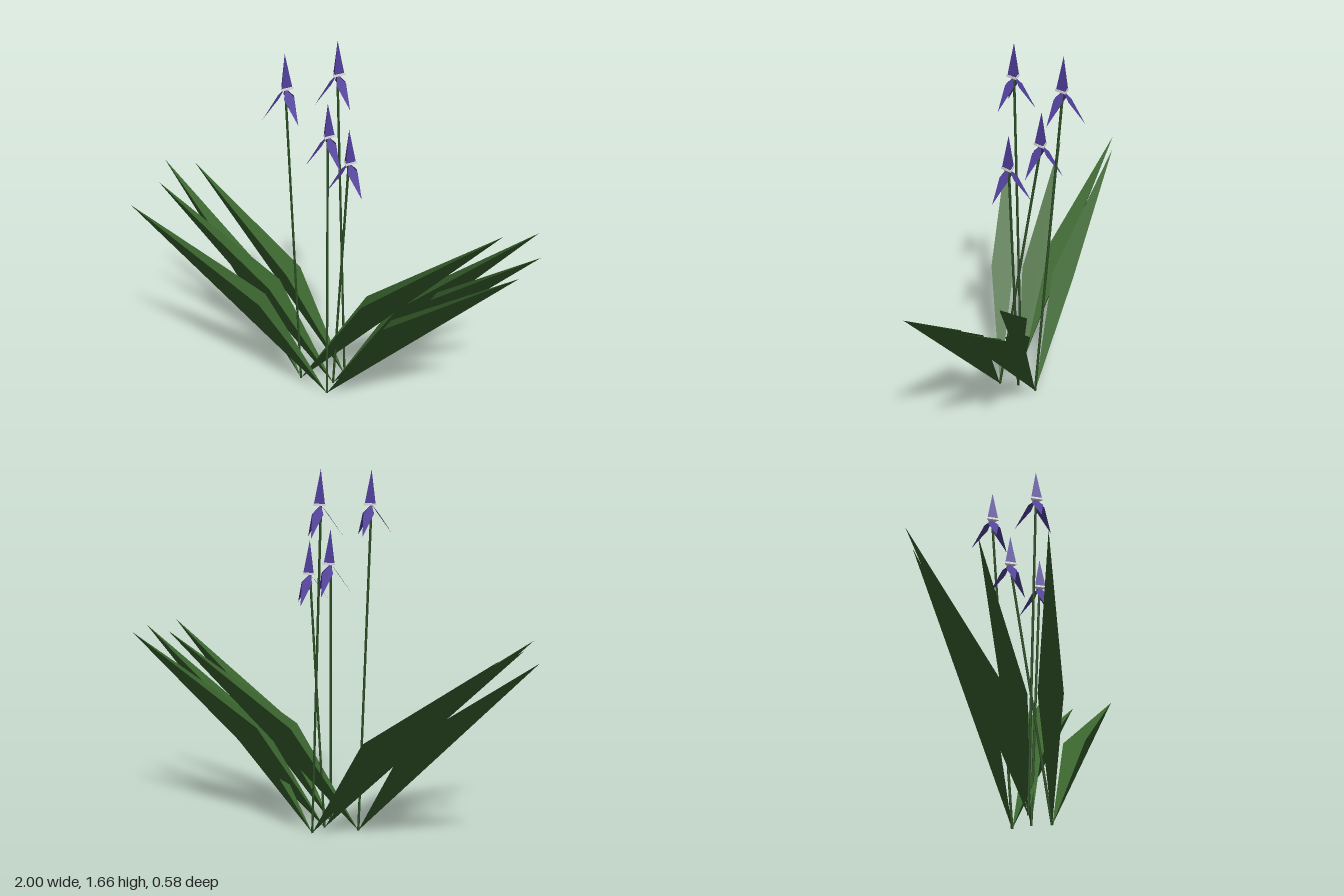
import * as THREE from 'three';

const mat = (name, color, side = THREE.FrontSide) => {
  const m = new THREE.MeshStandardMaterial({ color, side });
  m.name = name;
  return m;
};

// Four-cornered blade (root, side, tip, side) folded along root-tip, with one shared normal
function bladeGeometry(root, sideA, tip, sideB) {
  const n = tip.clone().sub(root).cross(sideB.clone().sub(sideA)).normalize();
  const flip = n.y < 0;
  if (flip) n.negate();
  const pts = flip ? [root, sideB, tip, sideA] : [root, sideA, tip, sideB];
  const g = new THREE.BufferGeometry();
  g.setAttribute('position', new THREE.Float32BufferAttribute(pts.flatMap(p => p.toArray()), 3));
  g.setAttribute('normal', new THREE.Float32BufferAttribute(pts.flatMap(() => n.toArray()), 3));
  // pick the winding whose faces look the same way as the normal
  const up = pts[1].clone().sub(pts[0]).cross(pts[2].clone().sub(pts[0])).dot(n) > 0;
  g.setIndex(up ? [0, 1, 2, 0, 2, 3] : [0, 2, 1, 0, 3, 2]);
  return g;
}

// Blade reaching outwards from root to tip, widest at fraction t along the ground
function blade(name, material, root, tip, t, midY, halfWidth) {
  const mid = root.clone().lerp(tip, t).setY(midY);
  const side = new THREE.Vector3(-(tip.z - root.z), 0, tip.x - root.x).setLength(halfWidth);
  const mesh = new THREE.Mesh(
    bladeGeometry(root, mid.clone().add(side), tip, mid.clone().sub(side)), material);
  mesh.name = name;
  return mesh;
}

export function createModel() {
  const group = new THREE.Group();
  group.name = 'floweringPlants';

  const leafGreen = mat('leaf green', 0x3a652e, THREE.DoubleSide);
  const stemGreen = mat('stem green', 0x2f5226);
  const purple = mat('petal purple', 0x51409c, THREE.DoubleSide);
  const white = mat('band white', 0xffffff);
  const V = (x, y, z) => new THREE.Vector3(x, y, z);

  // base [x, z], flower band [x, y, z], two leaf tips [x, z]
  const plants = [
    { base: [-0.11, 0.01], flower: [-0.148, 1.505, 0.055], tips: [[-1, -0.24], [0.8, -0.155]] },
    { base: [0.07, -0.11], flower: [-0.02, 1.51, -0.197], tips: [[-0.84, -0.27], [1, -0.04]] },
    { base: [0.06, 0.07], flower: [-0.022, 1.25, -0.104], tips: [[-0.84, 0.285], [0.97, 0.175]] },
    { base: [0.05, -0.02], flower: [0.13, 1.19, 0], tips: [[-0.87, 0.01], [0.93, -0.26]] },
  ];

  for (const { base, flower, tips } of plants) {
    const plant = new THREE.Group();
    plant.name = 'plant';
    const foot = V(base[0], 0, base[1]);
    const head = V(...flower);

    // folded leaves
    for (const [x, z] of tips)
      plant.add(blade('leaf', leafGreen, foot, V(x, 0.905, z), 0.335, 0.48, 0.055));

    // slender stem
    const stem = new THREE.Mesh(
      new THREE.TubeGeometry(new THREE.LineCurve3(foot, head), 1, 0.006, 4), stemGreen);
    stem.name = 'stem';
    plant.add(stem);

    // flower: upright bud, pale band and three drooping petals
    const bloom = new THREE.Group();
    bloom.name = 'flower';
    bloom.position.copy(head);
    const bud = new THREE.Mesh(
      new THREE.ConeGeometry(0.031, 0.152, 3).toNonIndexed(), purple);
    bud.geometry.computeVertexNormals();
    bud.position.y = 0.076;
    bud.name = 'bud';
    const band = new THREE.Mesh(
      new THREE.CylinderGeometry(0.035, 0.035, 0.01, 3).toNonIndexed(), white);
    band.geometry.computeVertexNormals();
    band.name = 'band';
    bloom.add(bud, band);
    for (let i = 0; i < 3; i++) {
      const a = Math.PI + i * Math.PI * 2 / 3;
      const tip = V(Math.sin(a) * 0.1, -0.14, Math.cos(a) * 0.1);
      bloom.add(blade('petal', purple, V(0, 0, 0), tip, 0.3, -0.04, 0.026));
    }
    plant.add(bloom);
    group.add(plant);
  }
  return group;
}
